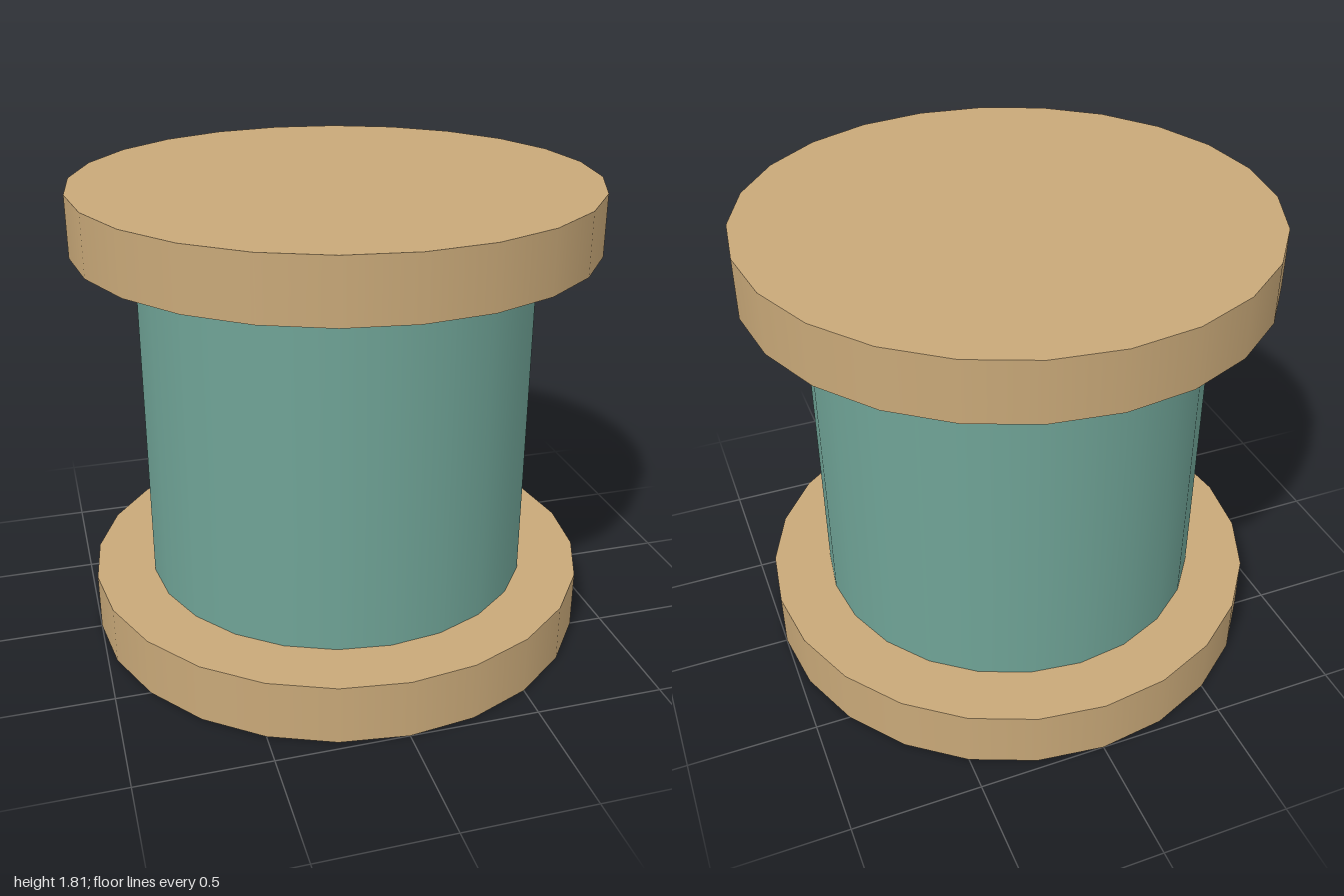
import * as THREE from 'three';

const SIDES = 24;
const FLANGE_RADIUS = 1, FLANGE_HEIGHT = 0.233;
const CORE_RADIUS = 0.767, CORE_HEIGHT = 1.34;

export function createModel() {
  const wood = new THREE.MeshStandardMaterial({ name: 'tan wood', color: 0xc8a878 });
  const thread = new THREE.MeshStandardMaterial({ name: 'teal thread', color: 0x6fa396 });
  const spool = new THREE.Group();
  spool.name = 'spool';

  // Adds an upright disc whose underside sits at the given height
  const addDisc = (name, radius, height, bottom, material, open = false) => {
    const geometry = new THREE.CylinderGeometry(radius, radius, height, SIDES, 1, open);
    const mesh = new THREE.Mesh(geometry, material);
    mesh.name = name;
    mesh.position.y = bottom + height / 2;
    spool.add(mesh);
  };

  // End flanges, with the wound thread between them
  addDisc('bottomFlange', FLANGE_RADIUS, FLANGE_HEIGHT, 0, wood);
  addDisc('threadCore', CORE_RADIUS, CORE_HEIGHT, FLANGE_HEIGHT, thread, true);
  addDisc('topFlange', FLANGE_RADIUS, FLANGE_HEIGHT, FLANGE_HEIGHT + CORE_HEIGHT, wood);

  return spool;
}
